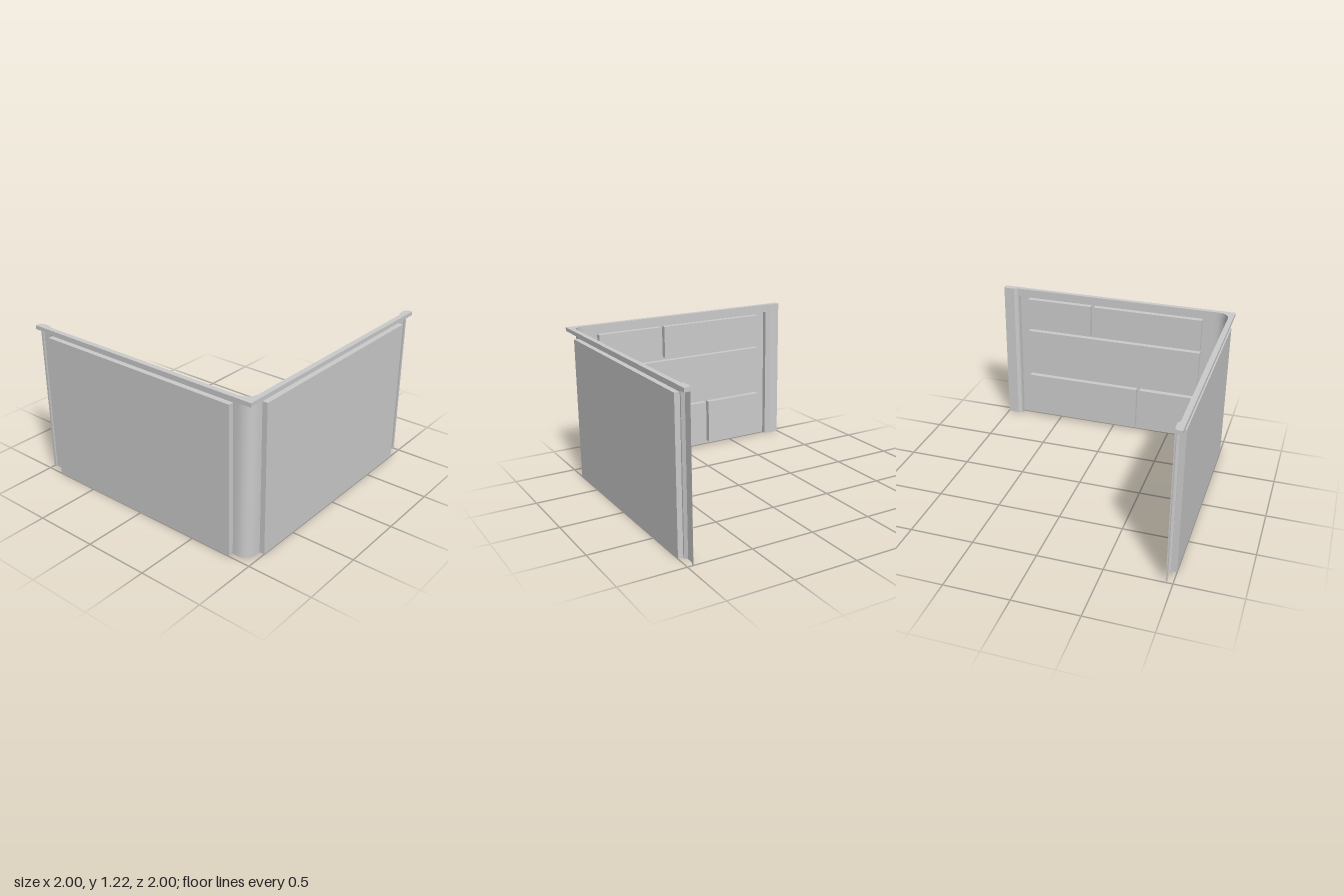
import * as THREE from 'three';
import { toCreasedNormals } from 'three/addons/utils/BufferGeometryUtils.js';

const CAP_Y = 1.185, TOP = 1.215, PANEL_TOP = 1.15;
const OUTER = 1, SHEET = 0.96, BRICK_FACE = 0.95;
const START = -0.83, END = 0.867; // panel extent along a wall

const material = new THREE.MeshStandardMaterial({ color: 0xcccccc, side: THREE.DoubleSide });

function addMesh(group, name, geometry) {
  const mesh = new THREE.Mesh(geometry, material);
  mesh.name = name;
  group.add(mesh);
}

// Upright sheet following a list of [x, z] points
function ribbon(path, y0, y1) {
  const pos = [], index = [];
  path.forEach(([x, z], i) => {
    pos.push(x, y0, z, x, y1, z);
    if (i) {
      const a = 2 * i - 2;
      index.push(a, a + 1, a + 2, a + 2, a + 1, a + 3);
    }
  });
  const g = new THREE.BufferGeometry();
  g.setAttribute('position', new THREE.Float32BufferAttribute(pos, 3));
  g.setIndex(index);
  return toCreasedNormals(g, 0.5);
}

// Raised end post, running outwards along the wall
const postPath = [[END, SHEET], [0.88, SHEET], [0.905, 0.944], [0.98, 0.944], [0.98, 0.956], [1, 0.956]];

// Rounded corner between the two walls
const cornerPath = [[START, SHEET]];
for (let i = 0; i <= 4; i++) {
  const a = (i / 4) * Math.PI / 2;
  cornerPath.push([-0.87 - 0.09 * Math.sin(a), 0.87 + 0.09 * Math.cos(a)]);
}
cornerPath.push([-SHEET, -START]);

// One wall facing +z; s = -1 mirrors it along x
function makeWall(name, s, rows) {
  const wall = new THREE.Group();
  wall.name = name;
  const flip = path => path.map(([x, z]) => [s * x, z]);

  addMesh(wall, 'endPost', ribbon(flip(postPath), 0, CAP_Y));
  addMesh(wall, 'header', ribbon(flip([[START, SHEET], [END, SHEET]]), PANEL_TOP, CAP_Y));

  // Outer panel, hollow on the inside
  addMesh(wall, 'outerPanel', ribbon(flip([[START, SHEET], [START, OUTER], [END, OUTER], [END, SHEET]]), 0, PANEL_TOP));
  const ledge = new THREE.PlaneGeometry(END - START, OUTER - SHEET).rotateX(-Math.PI / 2);
  ledge.translate(s * (START + END) / 2, PANEL_TOP, (OUTER + SHEET) / 2);
  addMesh(wall, 'panelTop', ledge);

  // Blocks set into the hollow
  for (const { y0, y1, spans } of rows) {
    for (const [a, b] of spans) {
      const back = 0.995;
      const block = new THREE.BoxGeometry(b - a, y1 - y0, back - BRICK_FACE);
      block.translate(s * (a + b) / 2, (y0 + y1) / 2, (back + BRICK_FACE) / 2);
      addMesh(wall, 'innerBlock', block);
    }
  }
  return wall;
}

// Three courses of blocks; seams are the gaps in the top and bottom course
const courses = (topSeam, bottomSeam) => {
  const split = seam => [[-0.74, seam - 0.014], [seam + 0.014, 0.78]];
  return [
    { y0: 0.86, y1: 1.13, spans: split(topSeam) },
    { y0: 0.43, y1: 0.835, spans: [[-0.74, 0.78]] },
    { y0: 0.03, y1: 0.405, spans: split(bottomSeam) },
  ];
};

// Flat top rim: square outside, following the sheet inside
function capGeometry() {
  const swap = ([x, z]) => [-z, -x];
  const outline = [
    [-OUTER, -1], [-OUTER, OUTER], [1, OUTER],
    ...[...postPath].reverse(), ...cornerPath, ...postPath.map(swap),
  ];
  const shape = new THREE.Shape(outline.map(([x, z]) => new THREE.Vector2(x, -z)));
  const g = new THREE.ExtrudeGeometry(shape, { depth: TOP - CAP_Y, bevelEnabled: false });
  g.rotateX(-Math.PI / 2).translate(0, CAP_Y, 0);
  return toCreasedNormals(g, 0.5);
}

export function createModel() {
  const model = new THREE.Group();
  model.name = 'cornerWall';
  addMesh(model, 'corner', ribbon(cornerPath, 0, CAP_Y));
  addMesh(model, 'topRim', capGeometry());
  model.add(makeWall('frontWall', 1, courses(0.202, -0.222)));
  const side = makeWall('sideWall', -1, courses(-0.168, 0.25));
  side.rotation.y = -Math.PI / 2;
  model.add(side);
  return model;
}
